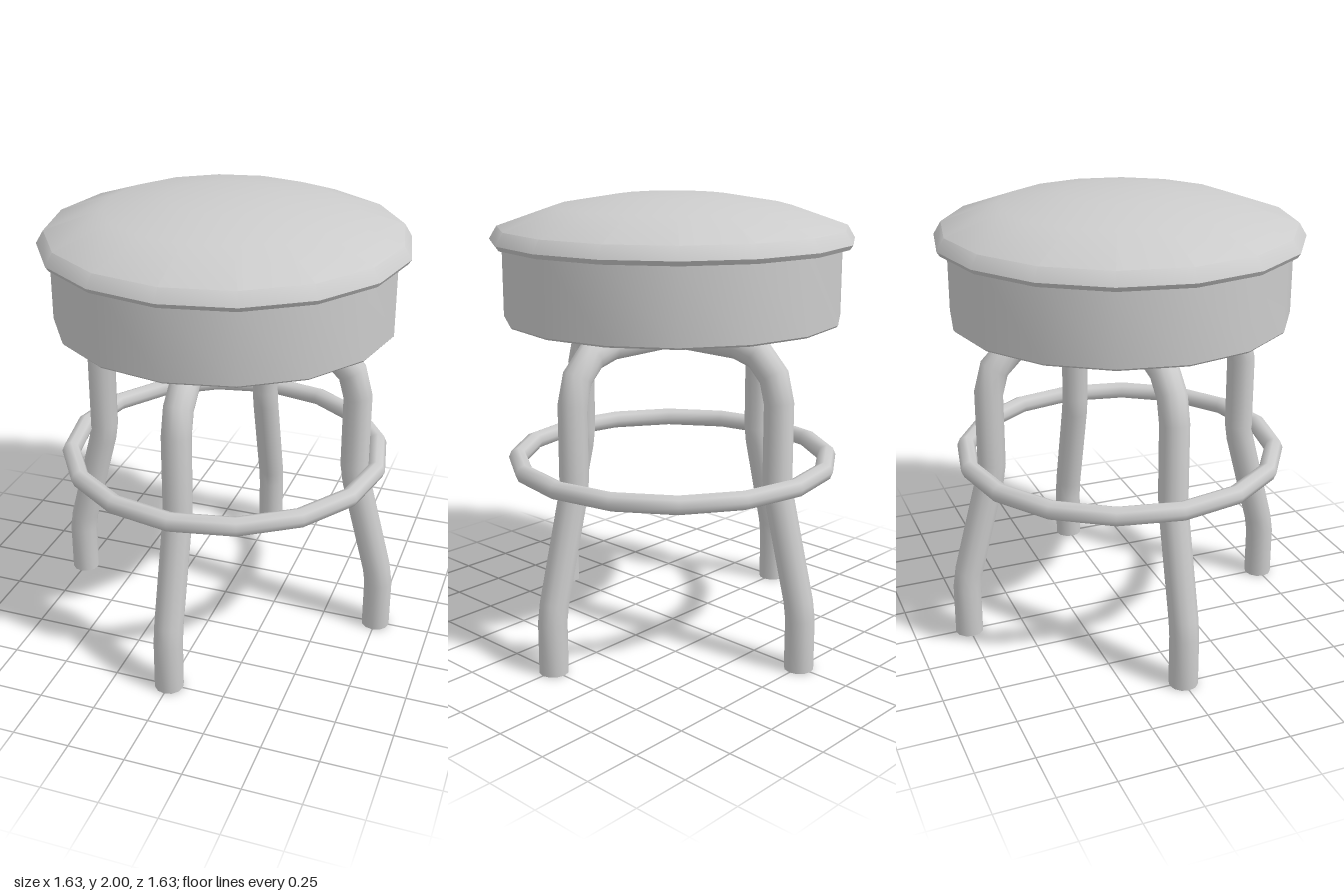
import * as THREE from 'three';
import { toCreasedNormals } from 'three/addons/utils/BufferGeometryUtils.js';

const SIDES = 16;
const material = new THREE.MeshStandardMaterial({ color: 0xcccccc });

function part(name, geometry) {
  const mesh = new THREE.Mesh(geometry, material);
  mesh.name = name;
  return mesh;
}

function lathe(profile) {
  const points = profile.map(([r, y]) => new THREE.Vector2(r, y));
  return toCreasedNormals(new THREE.LatheGeometry(points, SIDES), 0.7);
}

// Round pipe along a path in the xy plane, mitred at each bend and capped
function pipe(path, radius, sides) {
  const pts = path.map(([x, y]) => new THREE.Vector2(x, y));
  const last = pts.length - 1;
  const positions = [];
  const index = [];
  pts.forEach((p, i) => {
    const before = p.clone().sub(pts[Math.max(i - 1, 0)]).normalize();
    const after = pts[Math.min(i + 1, last)].clone().sub(p).normalize();
    const dir = before.clone().add(after).normalize();
    const stretch = i === 0 || i === last ? 1 : 1 / dir.dot(after);
    for (let j = 0; j < sides; j++) {
      const a = (j / sides) * Math.PI * 2;
      const s = Math.cos(a) * radius * stretch;
      positions.push(p.x - dir.y * s, p.y + dir.x * s, Math.sin(a) * radius);
      if (i < last) {
        const k = (j + 1) % sides;
        const r0 = i * sides, r1 = r0 + sides;
        index.push(r0 + j, r0 + k, r1 + j, r0 + k, r1 + k, r1 + j);
      }
    }
  });
  // End caps
  for (let j = 1; j < sides - 1; j++) {
    const e = last * sides;
    index.push(0, j + 1, j, e, e + j, e + j + 1);
  }
  const geometry = new THREE.BufferGeometry();
  geometry.setAttribute('position', new THREE.Float32BufferAttribute(positions, 3));
  geometry.setIndex(index);
  return toCreasedNormals(geometry, 0.8);
}

export function createModel() {
  const stool = new THREE.Group();
  stool.name = 'stool';

  // Domed cushion with an overhanging rim
  stool.add(part('cushion', lathe([
    [0, 1.785], [0.79, 1.785], [0.803, 1.805], [0.77, 1.86],
    [0.52, 1.947], [0.25, 1.992], [0, 2],
  ])));

  // Drum below the cushion
  stool.add(part('seatDrum', lathe([
    [0, 1.455], [0.743, 1.455], [0.75, 1.463], [0.75, 1.79],
  ])));

  // Half of a leg pipe: foot, splay, upright, then a rounded top bend
  const half = [[0.75, 0], [0.75, 0.23], [0.738, 0.31], [0.622, 0.75], [0.61, 0.83]];
  for (let i = 0; i <= 3; i++) {
    const a = (i / 3) * Math.PI / 2;
    half.push([0.39 + 0.22 * Math.cos(a), 1.16 + 0.22 * Math.sin(a)]);
  }
  const legPath = [...half, ...half.map(([x, y]) => [-x, y]).reverse()];

  // Two bent pipes crossing under the seat give four legs
  const legGeometry = pipe(legPath, 0.064, 12);
  ['sideLegs', 'frontBackLegs'].forEach((name, i) => {
    const legs = part(name, legGeometry);
    legs.rotation.y = i * Math.PI / 2;
    stool.add(legs);
  });

  // Foot ring around the legs
  const ring = part('footRing', new THREE.TorusGeometry(0.708, 0.042, 8, SIDES));
  ring.rotation.x = Math.PI / 2;
  ring.position.y = 0.81;
  stool.add(ring);

  return stool;
}
